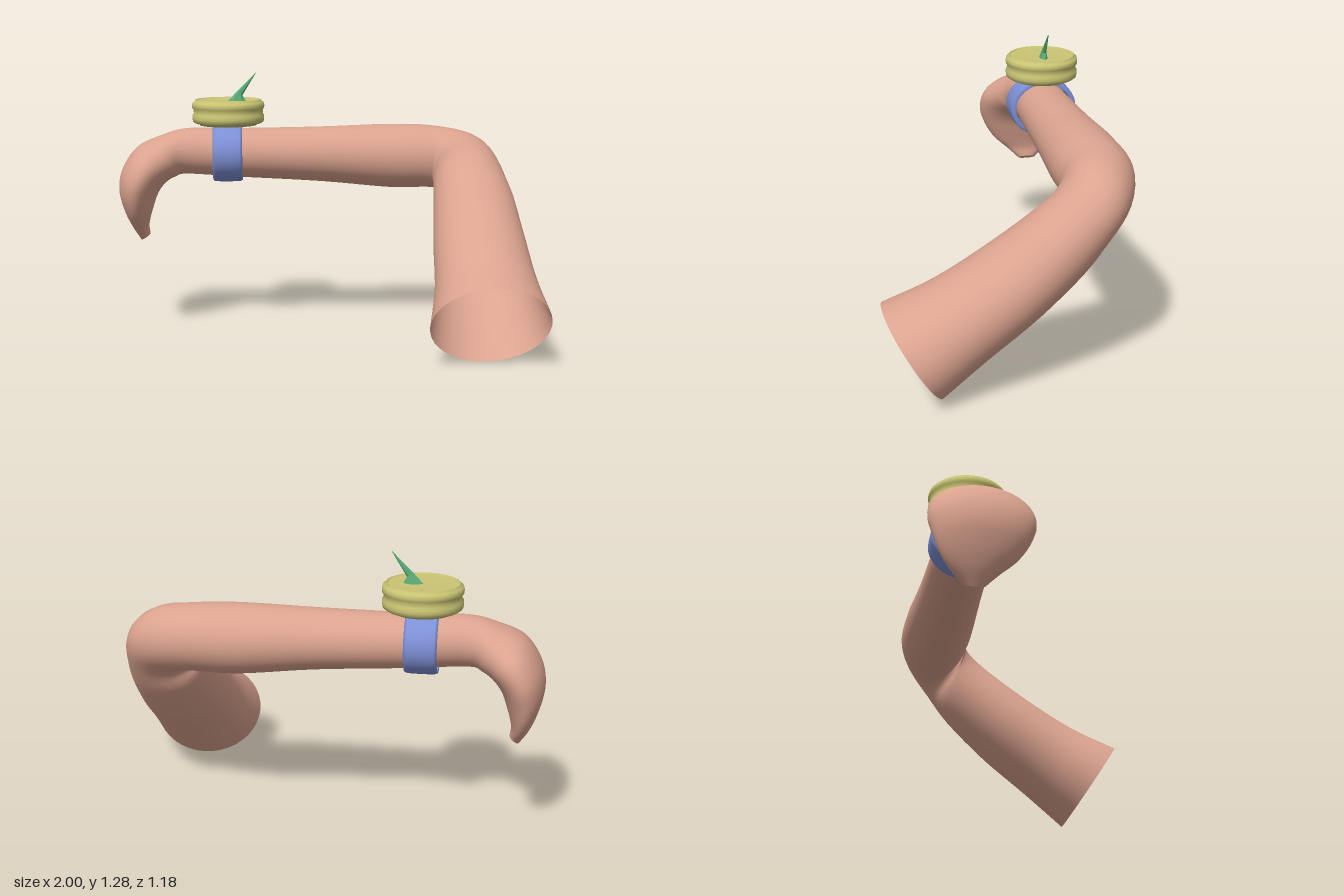
import * as THREE from 'three';

const V = (x, y, z) => new THREE.Vector3(x, y, z);

// Skin a series of elliptical sections [centre, half-axis u, half-axis v]
function loft(sections, sides, steps) {
  const curves = [0, 1, 2].map(k =>
    new THREE.CatmullRomCurve3(sections.map(s => s[k]), false, 'catmullrom', 0.5));
  const rows = (sections.length - 1) * steps;
  const pos = [], idx = [];
  for (let i = 0; i <= rows; i++) {
    const [c, u, v] = curves.map(k => k.getPoint(i / rows));
    for (let j = 0; j < sides; j++) {
      const a = j / sides * Math.PI * 2;
      const p = c.clone().addScaledVector(u, Math.cos(a)).addScaledVector(v, Math.sin(a));
      pos.push(p.x, p.y, p.z);
    }
  }
  for (let i = 0; i < rows; i++) for (let j = 0; j < sides; j++) {
    const a = i * sides + j, b = i * sides + (j + 1) % sides;
    idx.push(a, a + sides, b, b, a + sides, b + sides);
  }
  const g = new THREE.BufferGeometry();
  g.setAttribute('position', new THREE.Float32BufferAttribute(pos, 3));
  g.setIndex(idx);
  g.computeVertexNormals();
  return g;
}

// Upper-arm section: slanted in the y-z plane
const upper = (x, y, z, w, h) => [V(x, y, z), V(w, 0, 0), V(0, 0.843 * h, 0.537 * h)];
// Forearm section: upright, across the x axis
const fore = (x, y, z, w, h) => [V(x, y, z), V(0, 0, -w), V(0, h, 0)];
// Hand section: from a point on the back of the hand to one on the palm
const hand = (bx, by, px, py, z, w) =>
  [V((bx + px) / 2, (by + py) / 2, z), V(0, 0, -w), V((bx - px) / 2, (by - py) / 2, 0)];

export function createModel() {
  const group = new THREE.Group();
  const mat = (color, extra = {}) => new THREE.MeshStandardMaterial({ color, ...extra });
  const skin = mat(0xdba38f, { side: THREE.DoubleSide });
  const blue = mat(0x7e90d6);
  const brass = mat(0xc9c473);
  const green = mat(0x5cae78, { flatShading: true });
  const add = (name, geometry, material) => {
    const m = new THREE.Mesh(geometry, material);
    m.name = name;
    group.add(m);
    return m;
  };

  // Arm: open at the shoulder, bent at the elbow, hand hanging from the wrist
  const tip = hand(-0.9, 0.452, -0.855, 0.48, -0.39, 0.045);
  add('arm', loft([
    upper(0.72, 0.2, 0.4625, 0.275, 0.237),
    upper(0.73, 0.335, 0.25, 0.237, 0.203),
    upper(0.735, 0.51, 0.005, 0.217, 0.185),
    upper(0.735, 0.7, -0.215, 0.188, 0.165),
    [V(0.695, 0.825, -0.32), V(0.15, 0, -0.1), V(0.03, 0.148, 0.035)],
    [V(0.57, 0.862, -0.375), V(0.045, 0, -0.158), V(0.01, 0.153, 0)],
    fore(0.35, 0.868, -0.38, 0.168, 0.158),
    fore(0, 0.88, -0.372, 0.148, 0.136),
    fore(-0.4, 0.89, -0.368, 0.133, 0.121),
    fore(-0.66, 0.9, -0.363, 0.118, 0.113),
    hand(-0.8, 0.975, -0.72, 0.775, -0.36, 0.165),
    hand(-0.91, 0.92, -0.77, 0.745, -0.362, 0.217),
    hand(-0.98, 0.82, -0.81, 0.69, -0.362, 0.227),
    hand(-1, 0.72, -0.835, 0.62, -0.365, 0.203),
    hand(-0.98, 0.62, -0.853, 0.56, -0.375, 0.163),
    hand(-0.945, 0.53, -0.86, 0.52, -0.388, 0.108),
    tip,
  ], 40, 5), skin);
  const zero = V(0, 0, 0);
  add('fingerTip', loft([tip, [tip[0], zero, zero]], 40, 1), skin);

  // Strap around the wrist
  const strapProfile = [[0.85, -0.07], [0.96, -0.072], [0.99, -0.06], [1, -0.03],
    [1, 0.03], [0.99, 0.06], [0.96, 0.072], [0.85, 0.07], [0.85, -0.07]];
  const strap = new THREE.LatheGeometry(strapProfile.map(p => new THREE.Vector2(...p)), 48);
  strap.scale(0.145, 1, 0.166).rotateZ(Math.PI / 2).translate(-0.462, 0.892, -0.366);
  add('wristStrap', strap, blue);

  // Round case: foot, two bands with a groove between, raised rim, flat face
  const caseProfile = [[0, 1.028], [0.14, 1.028], [0.143, 1.037], [0.163, 1.038],
    [0.174, 1.046], [0.177, 1.06], [0.177, 1.076], [0.17, 1.086], [0.17, 1.106],
    [0.177, 1.112], [0.178, 1.126], [0.175, 1.14], [0.164, 1.144], [0.163, 1.152],
    [0.159, 1.154], [0.155, 1.152], [0.153, 1.146], [0, 1.146]];
  const dial = new THREE.LatheGeometry(caseProfile.map(p => new THREE.Vector2(...p)), 56);
  dial.translate(-0.458, 0, -0.365);
  add('dialCase', dial, brass);

  // Slanted pointer with a flared base
  add('pointer', loft([
    [V(-0.415, 1.144, -0.365), V(0.045, 0, 0), V(0, 0, 0.02)],
    [V(-0.402, 1.182, -0.365), V(0.015, -0.008, 0), V(0, 0, 0.011)],
    [V(-0.32, 1.285, -0.365), V(0.001, 0, 0), V(0, 0, 0.002)],
  ], 6, 1), green);

  return group;
}
